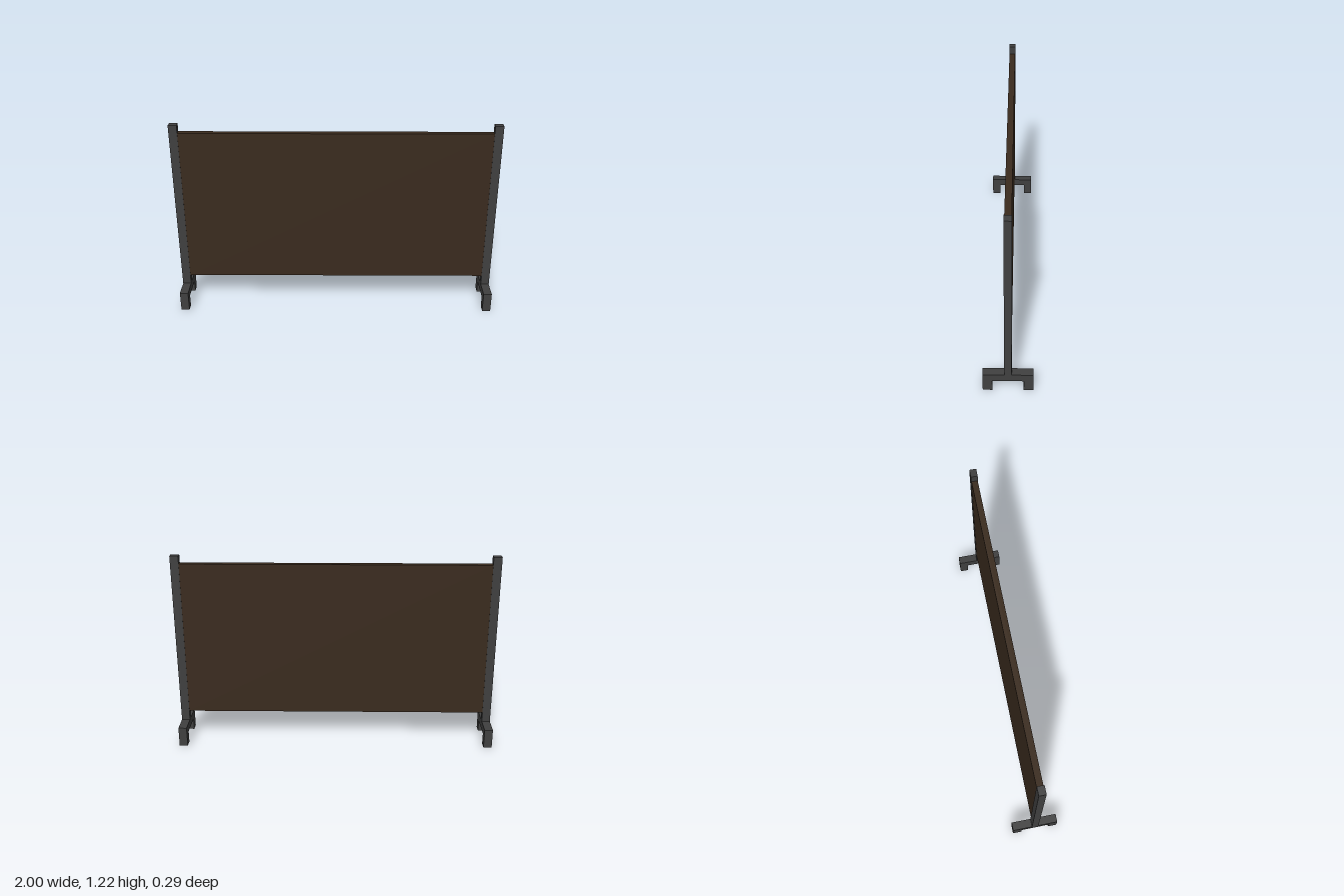
import * as THREE from 'three';

export function createModel() {
  const model = new THREE.Group();
  model.name = 'freestandingPanel';

  const metal = new THREE.MeshStandardMaterial({ color: 0x404040 });
  const board = new THREE.MeshStandardMaterial({ color: 0x3a2b1e });

  const postW = 0.052, postD = 0.042, height = 1.22;
  const footTop = 0.125, footUnder = 0.075, footOut = 0.145, footIn = 0.09;

  function box(name, w, h, d, x, y, z, material, parent) {
    const mesh = new THREE.Mesh(new THREE.BoxGeometry(w, h, d), material);
    mesh.name = name;
    mesh.position.set(x, y, z);
    parent.add(mesh);
  }

  // Bridge-shaped foot outline, extruded across the post width
  const outline = new THREE.Shape([
    [-footOut, 0], [-footIn, 0], [-footIn, footUnder], [footIn, footUnder],
    [footIn, 0], [footOut, 0], [footOut, footTop], [-footOut, footTop],
  ].map(([z, y]) => new THREE.Vector2(z, y)));
  const footGeometry = new THREE.ExtrudeGeometry(outline, { depth: postW, bevelEnabled: false });
  footGeometry.translate(0, 0, -postW / 2);
  footGeometry.rotateY(Math.PI / 2);

  // Matching stand at each end: foot plus upright post
  for (const [side, s] of [['left', 1], ['right', -1]]) {
    const stand = new THREE.Group();
    stand.name = side + 'Stand';
    stand.position.x = s * (1 - postW / 2);
    const foot = new THREE.Mesh(footGeometry, metal);
    foot.name = side + 'Foot';
    stand.add(foot);
    box(side + 'Post', postW, height - footTop, postD, 0, (height + footTop) / 2, 0, metal, stand);
    model.add(stand);
  }

  // Board held between the posts
  const bottom = 0.188, top = 1.17;
  box('board', 2 - 2 * postW, top - bottom, 0.038, 0, (top + bottom) / 2, 0, board, model);

  return model;
}
